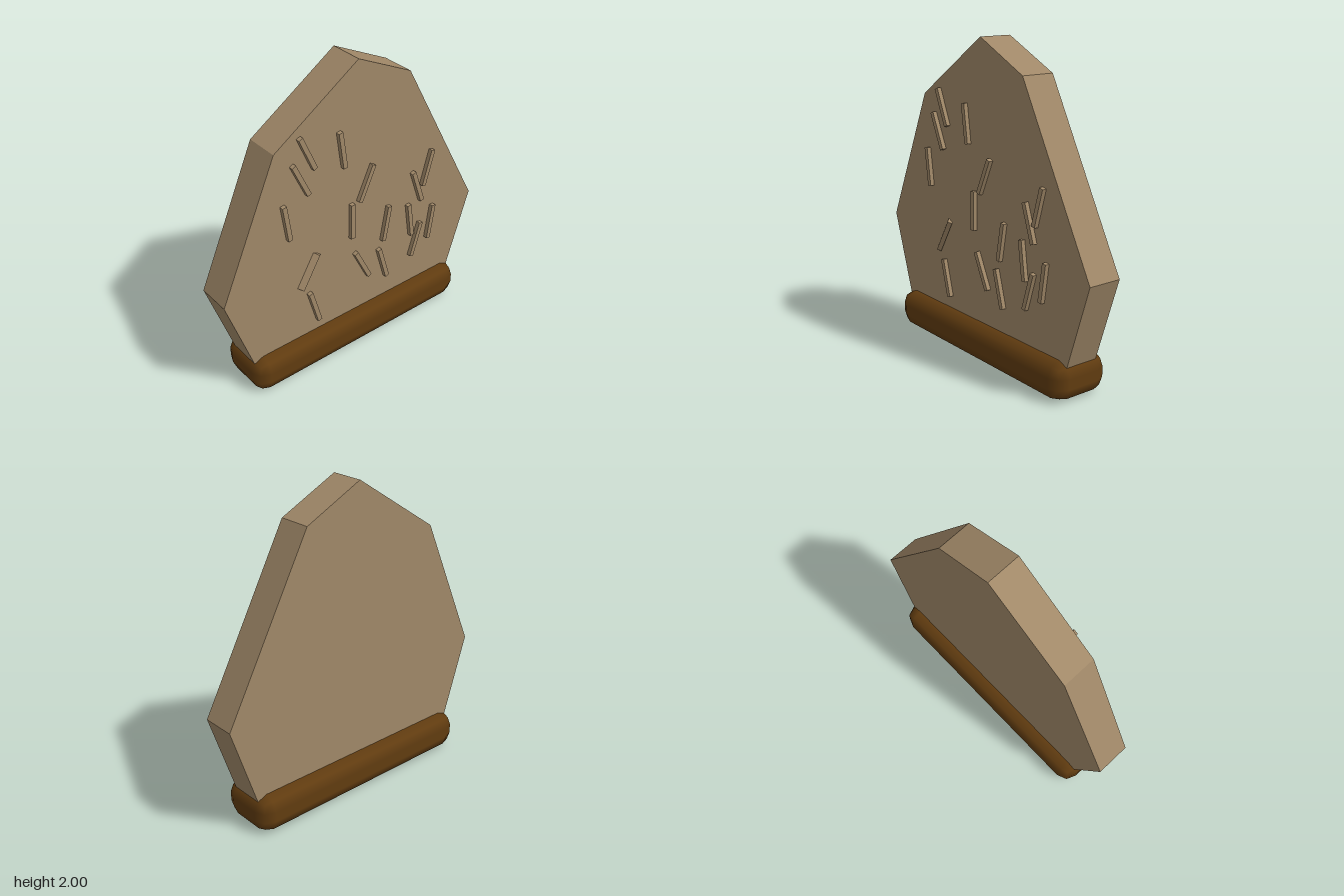
import * as THREE from 'three';
import { RoundedBoxGeometry } from 'three/addons/geometries/RoundedBoxGeometry.js';

export function createModel() {
  const model = new THREE.Group();
  model.name = 'standingStone';
  const stone = new THREE.MeshStandardMaterial({ name: 'tan stone', color: 0xa08868 });
  const wood = new THREE.MeshStandardMaterial({ name: 'dark brown wood', color: 0x613c10 });

  // Upright slab with an irregular seven-sided outline
  const outline = [[-0.8, 0.215], [0.8, 0.215], [0.97, 0.74], [0.39, 1.81], [0, 2], [-0.59, 1.61], [-0.975, 0.74]];
  const shape = new THREE.Shape(outline.map(([x, y]) => new THREE.Vector2(x, y)));
  const slabGeometry = new THREE.ExtrudeGeometry(shape, { depth: 0.22, bevelEnabled: false });
  slabGeometry.translate(0, 0, -0.11);
  const slab = new THREE.Mesh(slabGeometry, stone);
  slab.name = 'slab';
  model.add(slab);

  // Rounded plinth
  const base = new THREE.Mesh(new RoundedBoxGeometry(1.65, 0.243, 0.39, 1, 0.09), wood);
  base.name = 'base';
  base.position.y = 0.1215;
  model.add(base);

  // Raised chips on the front: centre x, centre y, lean, twist about own length
  const chips = [
    [-0.375, 1.545, 0.41], [-0.425, 1.39, 0.43], [-0.128, 1.475, 0.14], [-0.532, 1.143, 0.14],
    [0.055, 1.18, -0.43], [-0.053, 0.95, 0], [0.22, 0.815, -0.18], [0.555, 1.095, -0.28],
    [0.475, 0.987, 0.33], [0.423, 0.753, 0.14], [0.603, 0.665, -0.15], [0.478, 0.578, -0.3],
    [0.03, 0.585, 0.46], [0.2, 0.518, 0.28], [-0.348, 0.44, 0.27], [-0.38, 0.722, -0.53, 0.8],
  ];
  const chipGeometry = new THREE.BoxGeometry(0.03, 0.245, 0.05);
  for (const [x, y, lean, twist = 0] of chips) {
    const chip = new THREE.Mesh(chipGeometry, stone);
    chip.name = 'chip';
    chip.position.set(x, y, 0.112);
    chip.rotation.set(0, twist, lean, 'ZYX');
    model.add(chip);
  }
  return model;
}
